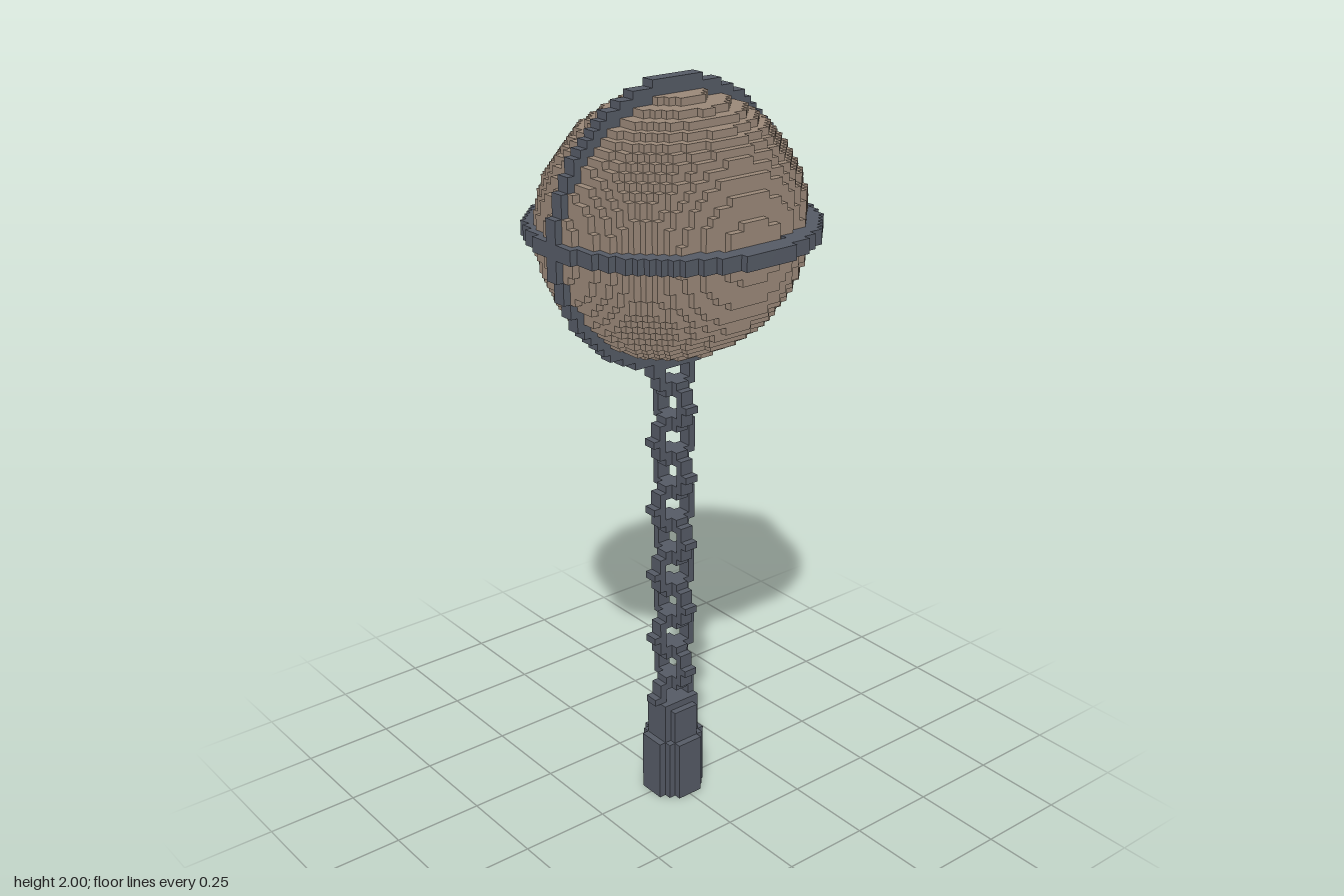
import * as THREE from 'three';

const S = 2 / 104;     // cube size
const CY = 85;         // ball centre height, in cubes

// Surface of all unit cubes whose centres pass the test (x, y, z in cubes)
function voxels(test, rx, y0, y1, rz) {
  const pos = [], nor = [], idx = [];
  const axes = [[0, 1, 2], [1, 2, 0], [2, 0, 1]];
  for (let x = -rx + 0.5; x < rx; x++)
    for (let y = y0 + 0.5; y < y1; y++)
      for (let z = -rz + 0.5; z < rz; z++) {
        if (!test(x, y, z)) continue;
        for (const [a, b, c] of axes)
          for (const s of [1, -1]) {
            const n = [0, 0, 0];
            n[a] = s;
            if (test(x + n[0], y + n[1], z + n[2])) continue;
            const base = pos.length / 3;
            for (const [u, v] of [[-1, -1], [1, -1], [1, 1], [-1, 1]]) {
              const p = [x, y, z];
              p[a] += s / 2;
              p[b] += (u * s) / 2;
              p[c] += v / 2;
              pos.push(p[0] * S, p[1] * S, p[2] * S);
              nor.push(...n);
            }
            idx.push(base, base + 1, base + 2, base, base + 2, base + 3);
          }
      }
  const g = new THREE.BufferGeometry();
  g.setAttribute('position', new THREE.Float32BufferAttribute(pos, 3));
  g.setAttribute('normal', new THREE.Float32BufferAttribute(nor, 3));
  g.setIndex(idx);
  return g;
}

// Two crossed hoops, one level and one upright
const inHoop = (u, v, w) => {
  const r = Math.hypot(u, v);
  return Math.abs(w) < 1 && r > 16.3 && r < 19;
};
const isHoop = (x, y, z) => inHoop(x, z, y) || inHoop(x, y, z);
const isBall = (x, y, z) =>
  (x / 18) ** 2 + (y / 17) ** 2 + (z / 16) ** 2 < 1 && !isHoop(x, y, z);

// Chain link, seven cubes tall, with a small burr on one side
function isLink(x, y, z) {
  if (Math.abs(z) > 1) return false;
  const ax = Math.abs(x), ay = Math.abs(y);
  if (ay < 0.5 && x < -3 && x > -4) return true;
  if (ay < 2.5) return ax < 3 && (ax > 2 || (ay > 1.5 && ax > 1));
  return ay < 3.5 && ax < 2;
}

// Grip: fluted foot, slimmer shaft and a narrow cap
function isGrip(x, y, z) {
  const a = Math.max(Math.abs(x), Math.abs(z)), b = Math.min(Math.abs(x), Math.abs(z));
  if (y < 0) return false;
  if (y < 1) return (a < 2) || (a > 3 && a < 4 && b < 2) || (a < 3 && b > 2);
  if (y < 9) return a < 3 || (a < 4 && b < 2);
  if (y < 14) return a < 3 && !(b > 2);
  return y < 15 && a < 3 && Math.abs(z) < 2;
}

export function createModel() {
  const model = new THREE.Group();
  const tan = new THREE.MeshStandardMaterial({ color: 0x9a8878 });
  tan.name = 'tan';
  const iron = new THREE.MeshStandardMaterial({ color: 0x555a65 });
  iron.name = 'darkIron';

  const add = (name, geometry, material, y) => {
    const m = new THREE.Mesh(geometry, material);
    m.name = name;
    m.position.y = y * S;
    model.add(m);
    return m;
  };

  add('ball', voxels(isBall, 18, -17, 17, 16), tan, CY);
  add('hoops', voxels(isHoop, 19, -19, 19, 19), iron, CY);

  // Chain, every second link turned a quarter
  const link = voxels(isLink, 4, -3.5, 3.5, 1);
  for (let i = 0; i < 11; i++) {
    const m = add('chainLink' + (i + 1), link, iron, 15.5 + 5 * i);
    if (i % 2) m.rotation.y = Math.PI / 2;
  }

  add('grip', voxels(isGrip, 4, 0, 15, 4), iron, 0);
  return model;
}
